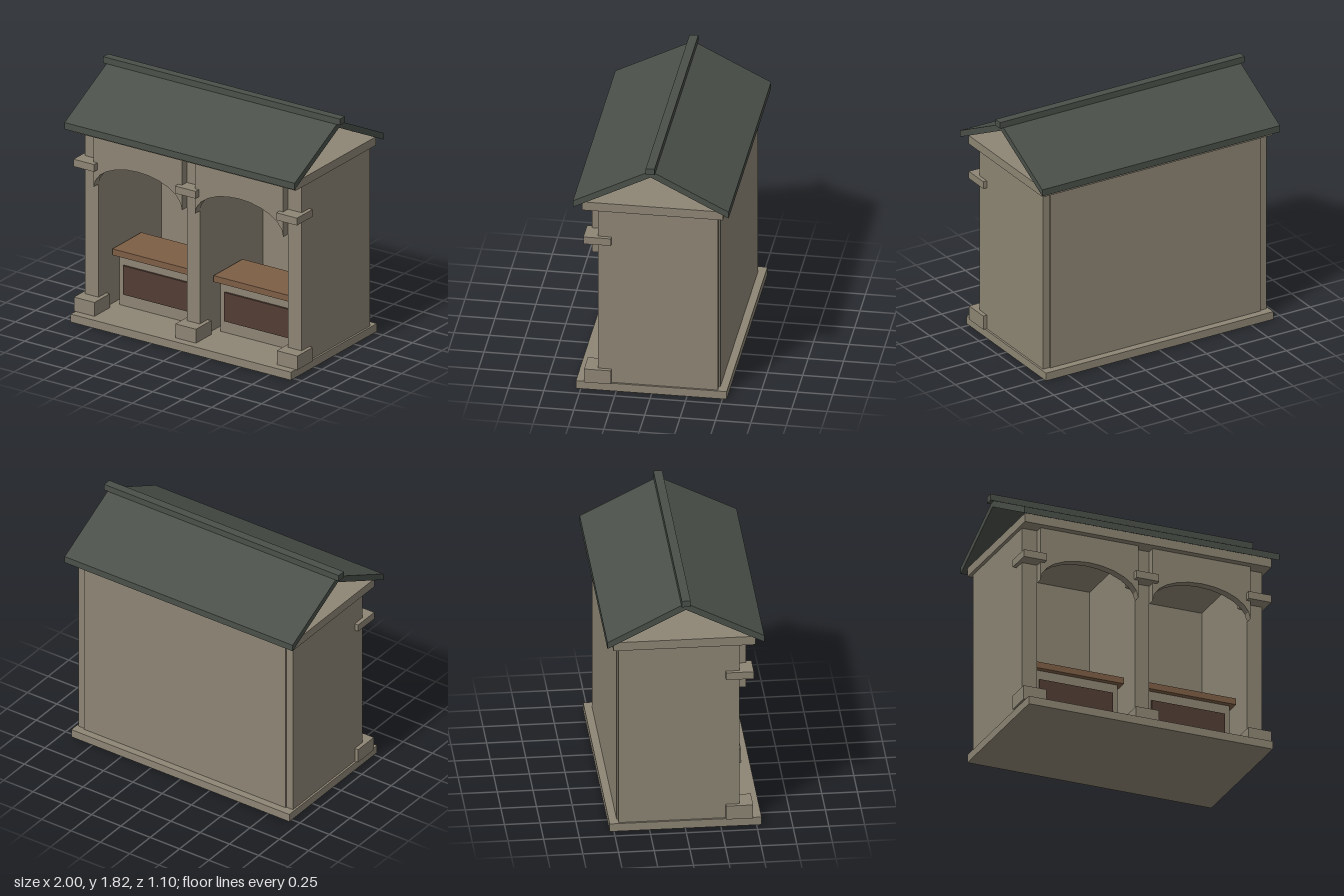
import * as THREE from 'three';

const material = (name, color) => {
  const m = new THREE.MeshStandardMaterial({ color });
  m.name = name;
  return m;
};

export function createModel() {
  const stone = material('stone', 0x8d8574);
  const slate = material('slate', 0x4a5049);
  const wood = material('wood', 0x7d5e45);
  const darkWood = material('darkWood', 0x523d34);

  const model = new THREE.Group();
  model.name = 'shelter';

  const add = (name, geometry, mat) => {
    const mesh = new THREE.Mesh(geometry, mat);
    mesh.name = name;
    model.add(mesh);
    return mesh;
  };

  // Box given by its minimum and maximum on each axis
  const box = (name, mat, [x0, x1], [y0, y1], [z0, z1]) => {
    const g = new THREE.BoxGeometry(x1 - x0, y1 - y0, z1 - z0);
    g.translate((x0 + x1) / 2, (y0 + y1) / 2, (z0 + z1) / 2);
    return add(name, g, mat);
  };

  // Floor slab, back wall and ceiling slab
  box('floorSlab', stone, [-0.93, 0.93], [0, 0.06], [-0.53, 0.535]);
  box('backWall', stone, [-0.86, 0.86], [0.06, 1.42], [-0.475, -0.4]);
  box('ceilingSlab', stone, [-0.94, 0.94], [1.42, 1.485], [-0.505, 0.49]);

  // Side walls and middle divider
  box('rightWall', stone, [-0.915, -0.8], [0.06, 1.42], [-0.465, 0.38]);
  box('leftWall', stone, [0.8, 0.915], [0.06, 1.42], [-0.465, 0.38]);
  box('divider', stone, [-0.055, 0.055], [0.06, 1.42], [-0.42, 0.38]);

  // Plinths and capitals wrapping the front ends of the walls
  for (const x of [-0.857, 0, 0.857]) {
    box('plinth', stone, [x - 0.087, x + 0.087], [0.06, 0.165], [0.285, 0.475]);
    box('capital', stone, [x - 0.087, x + 0.087], [1.155, 1.21], [0.285, 0.48]);
  }

  // Faceted elliptical arch over each bay
  const halfSpan = 0.3725, segments = 12;
  const arch = new THREE.Shape();
  arch.moveTo(halfSpan, 1.42);
  arch.lineTo(-halfSpan, 1.42);
  for (let i = 0; i <= segments; i++) {
    const a = Math.PI * (1 - i / segments);
    arch.lineTo(halfSpan * Math.cos(a), 1.02 + 0.2 * Math.sin(a));
  }
  arch.closePath();
  const archGeometry = new THREE.ExtrudeGeometry(arch, { depth: 0.062, bevelEnabled: false });

  for (const side of [-1, 1]) {
    const x = side * 0.4275;
    add('arch', archGeometry, stone).position.set(x, 0, 0.378);

    // Bench: stone block, dark front panel, wooden top
    box('benchBlock', stone, [x - 0.32, x + 0.32], [0.06, 0.44], [-0.08, 0.2]);
    box('benchPanel', darkWood, [x - 0.28, x + 0.28], [0.15, 0.368], [0.19, 0.215]);
    box('benchTop', wood, [x - 0.352, x + 0.352], [0.44, 0.487], [-0.12, 0.24]);
  }

  // Gable roof, open at both ends, with plumb-cut eaves
  const roof = new THREE.Shape([
    [-0.55, 1.455], [0, 1.735], [0.55, 1.455], [0.55, 1.505], [0, 1.785], [-0.55, 1.505],
  ].map(([z, y]) => new THREE.Vector2(z, y)));
  const roofGeometry = new THREE.ExtrudeGeometry(roof, { depth: 1.944, bevelEnabled: false });
  roofGeometry.translate(0, 0, -0.972).rotateY(Math.PI / 2);
  add('roof', roofGeometry, slate);
  box('ridgeCap', slate, [-1, 1], [1.77, 1.817], [-0.031, 0.031]);

  return model;
}
